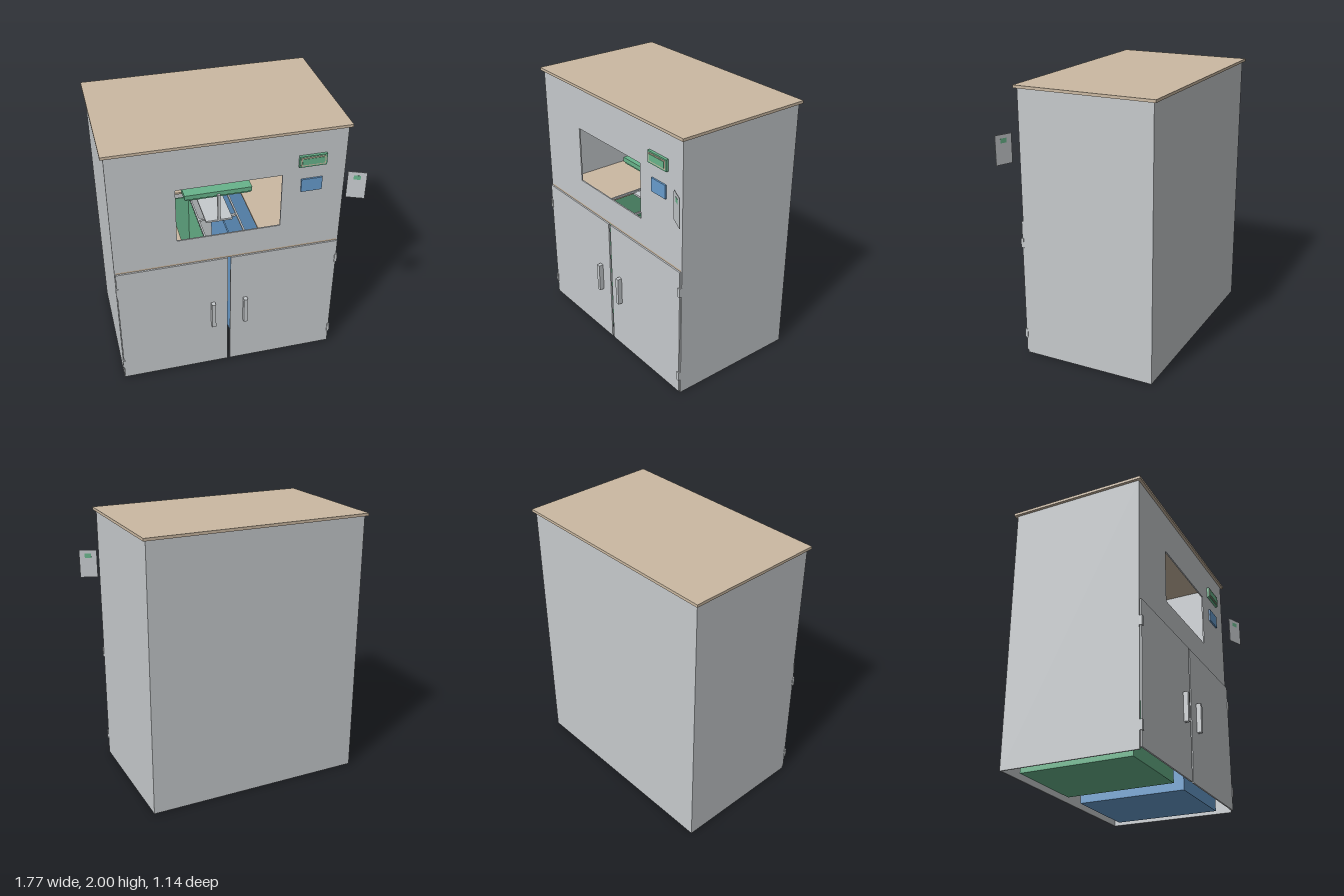
import * as THREE from 'three';

export function createModel() {
  const model = new THREE.Group();
  const mat = (name, color) => {
    const m = new THREE.MeshStandardMaterial({ color });
    m.name = name;
    return m;
  };
  const grey = mat('panel grey', 0xc6cacd);
  const beige = mat('board beige', 0xcbb9a2);
  const green = mat('part green', 0x68b48b);
  const blue = mat('part blue', 0x689dce);

  // Box given by its lower and upper limits on each axis
  const box = (name, material, [x0, x1], [y0, y1], [z0, z1], parent = model) => {
    const mesh = new THREE.Mesh(new THREE.BoxGeometry(x1 - x0, y1 - y0, z1 - z0), material);
    mesh.position.set((x0 + x1) / 2, (y0 + y1) / 2, (z0 + z1) / 2);
    mesh.name = name;
    parent.add(mesh);
    return mesh;
  };
  // Rectangular board with rectangular hole, extruded along z
  const board = (name, material, [x0, x1, y0, y1], [a0, a1, b0, b1], depth) => {
    const rect = (Type, l, r, b, t) => {
      const p = new Type();
      p.moveTo(l, b);
      p.lineTo(r, b);
      p.lineTo(r, t);
      p.lineTo(l, t);
      p.closePath();
      return p;
    };
    const shape = rect(THREE.Shape, x0, x1, y0, y1);
    shape.holes.push(rect(THREE.Path, a0, a1, b0, b1));
    const mesh = new THREE.Mesh(new THREE.ExtrudeGeometry(shape, { depth, bevelEnabled: false }), material);
    mesh.name = name;
    model.add(mesh);
    return mesh;
  };

  const mid = -0.05; // cabinet centre line in x and z

  // Cabinet shell, open underneath
  box('backWall', grey, [-0.87, 0.77], [0, 1.98], [-0.55, -0.54]);
  box('rightWall', grey, [-0.87, -0.86], [0, 1.98], [-0.54, 0.45]);
  box('leftWall', grey, [0.76, 0.77], [0, 1.98], [-0.54, 0.45]);
  box('roofBoard', beige, [-0.89, 0.79], [1.98, 2], [-0.57, 0.47]);
  const front = board('frontPanel', grey, [-0.86, 0.76, 1.04, 1.98], [-0.42, 0.32, 1.24, 1.66], 0.01);
  front.position.z = 0.44;

  // Inner shelf with drop opening
  const shelf = board('shelf', beige, [-0.86, 0.76, -0.45, 0.54], [-0.34, 0.24, -0.28, 0.4], 0.015);
  shelf.rotation.x = -Math.PI / 2;
  shelf.position.y = 1.025;

  // Doors with handles and hinges, mirrored about the centre line
  for (const side of [-1, 1]) {
    const span = (a, b) => [mid + side * a, mid + side * b].sort((p, q) => p - q);
    box('door', grey, span(0.01, 0.815), [0.015, 1.03], [0.453, 0.465]);
    box('handle', grey, span(0.107, 0.137), [0.41, 0.63], [0.465, 0.5]);
    for (const y of [0.12, 0.835]) box('hinge', grey, span(0.803, 0.823), [y, y + 0.07], [0.45, 0.472]);
  }

  // Open-topped bins
  const bin = (name, material, x0, x1) => {
    const g = new THREE.Group();
    const t = 0.01, h = [0, 0.95], z = [-0.46, 0.36];
    g.name = name;
    model.add(g);
    box('binFloor', material, [x0, x1], [0, t], z, g);
    box('binSide', material, [x0, x0 + t], h, z, g);
    box('binSide', material, [x1 - t, x1], h, z, g);
    box('binEnd', material, [x0 + t, x1 - t], h, [z[0], z[0] + t], g);
    box('binEnd', material, [x0 + t, x1 - t], h, [z[1] - t, z[1]], g);
  };
  bin('greenBin', green, -0.77, -0.14);
  bin('blueBin', blue, 0.04, 0.67);

  // Tipping tray on its stand
  box('tray', green, [-0.3, 0.2], [1.355, 1.39], [-0.25, 0.15]);
  box('trayUnderside', green, [-0.29, 0.19], [1.34, 1.355], [-0.24, 0.14]);
  for (const z of [-0.27, 0.15]) box('trayPost', grey, [mid - 0.01, mid + 0.01], [1.15, 1.37], [z, z + 0.02]);
  box('standPlate', grey, [-0.15, 0.05], [1.14, 1.155], [-0.27, 0.17]);
  for (const x of [-0.2, 0.09]) box('standRail', grey, [x, x + 0.012], [1.13, 1.145], [-0.54, 0.44]);
  for (const z of [-0.22, 0.1]) box('standCrossbar', grey, [-0.2, 0.1], [1.125, 1.14], [z, z + 0.02]);

  // Sensor above the tray
  box('sensorBoard', blue, [-0.105, 0.005], [1.573, 1.6], [-0.075, -0.025]);
  for (const x of [-0.082, -0.018]) {
    const eye = new THREE.Mesh(new THREE.CylinderGeometry(0.02, 0.02, 0.028, 24), grey);
    eye.position.set(x, 1.559, mid);
    eye.name = 'sensorEye';
    model.add(eye);
  }

  // Display and blue plate on the front
  box('displayBody', green, [0.43, 0.625], [1.715, 1.8], [0.45, 0.47]);
  box('displayFrame', beige, [0.44, 0.615], [1.727, 1.79], [0.47, 0.473]);
  box('displayScreen', green, [0.448, 0.607], [1.735, 1.782], [0.473, 0.476]);
  box('bluePlate', blue, [0.455, 0.605], [1.51, 1.61], [0.45, 0.462]);

  // Angled card held in front of the cabinet
  const card = new THREE.Group();
  card.name = 'card';
  card.position.set(0.824, 1.56, 0.542);
  card.rotation.y = -0.4;
  box('cardBody', grey, [-0.065, 0.065], [-0.105, 0.105], [-0.002, 0.002], card);
  box('cardMark', green, [-0.024, 0.024], [0.045, 0.078], [-0.0035, 0.0035], card);
  model.add(card);

  return model;
}
